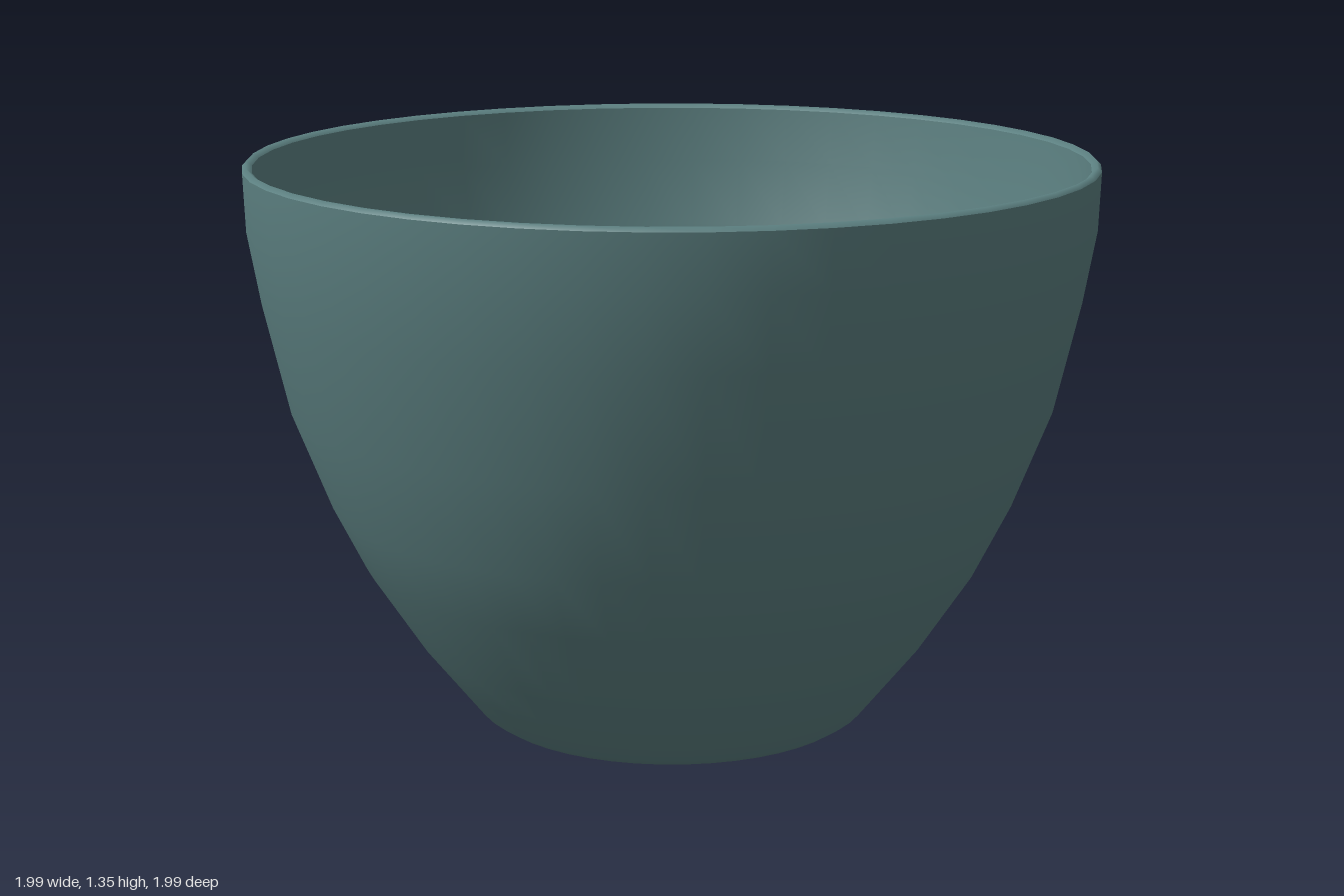
import * as THREE from 'three';

const SEGMENTS = 48;

export function createModel() {
  const bowl = new THREE.Group();
  bowl.name = 'drainedBowl';
  const glaze = new THREE.MeshStandardMaterial({ color: 0x5c8081 });
  glaze.name = 'greyTealGlaze';

  const add = (name, geometry) => {
    const mesh = new THREE.Mesh(geometry, glaze);
    mesh.name = name;
    bowl.add(mesh);
  };
  const turned = (name, points) =>
    add(name, new THREE.LatheGeometry(points.map(([r, y]) => new THREE.Vector2(r, y)), SEGMENTS));

  // Walls: every profile runs from the foot, up the outside, then down the inside
  turned('outerWall', [[0.44, 0.005], [0.47, 0.025], [0.53, 0.1], [0.61, 0.2], [0.735, 0.39],
    [0.81, 0.54], [0.9, 0.77], [0.96, 1.03], [0.99, 1.2], [0.995, 1.335]]);
  turned('rim', [[0.995, 1.335], [0.985, 1.345], [0.972, 1.335]]);
  turned('innerWall', [[0.972, 1.335], [0.962, 1.2], [0.932, 1.03], [0.87, 0.77], [0.78, 0.54],
    [0.705, 0.39], [0.58, 0.2], [0.5, 0.1], [0.42, 0.06]]);

  // Foot ring around the slightly recessed underside
  turned('footRing', [[0.385, 0.03], [0.4, 0.004], [0.42, 0], [0.44, 0.005]]);

  // Floor with three drain holes
  const disc = new THREE.Shape().absarc(0, 0, 0.425, 0, Math.PI * 2, false);
  for (const [x, z] of [[-0.01, -0.32], [0.29, 0.14], [-0.26, 0.17]]) {
    disc.holes.push(new THREE.Path().absarc(x, z, 0.034, 0, Math.PI * 2, true));
  }
  const floor = new THREE.ExtrudeGeometry(disc, { depth: 0.03, bevelEnabled: false, curveSegments: 24 });
  floor.rotateX(Math.PI / 2).translate(0, 0.06, 0);
  add('floor', floor);

  return bowl;
}
